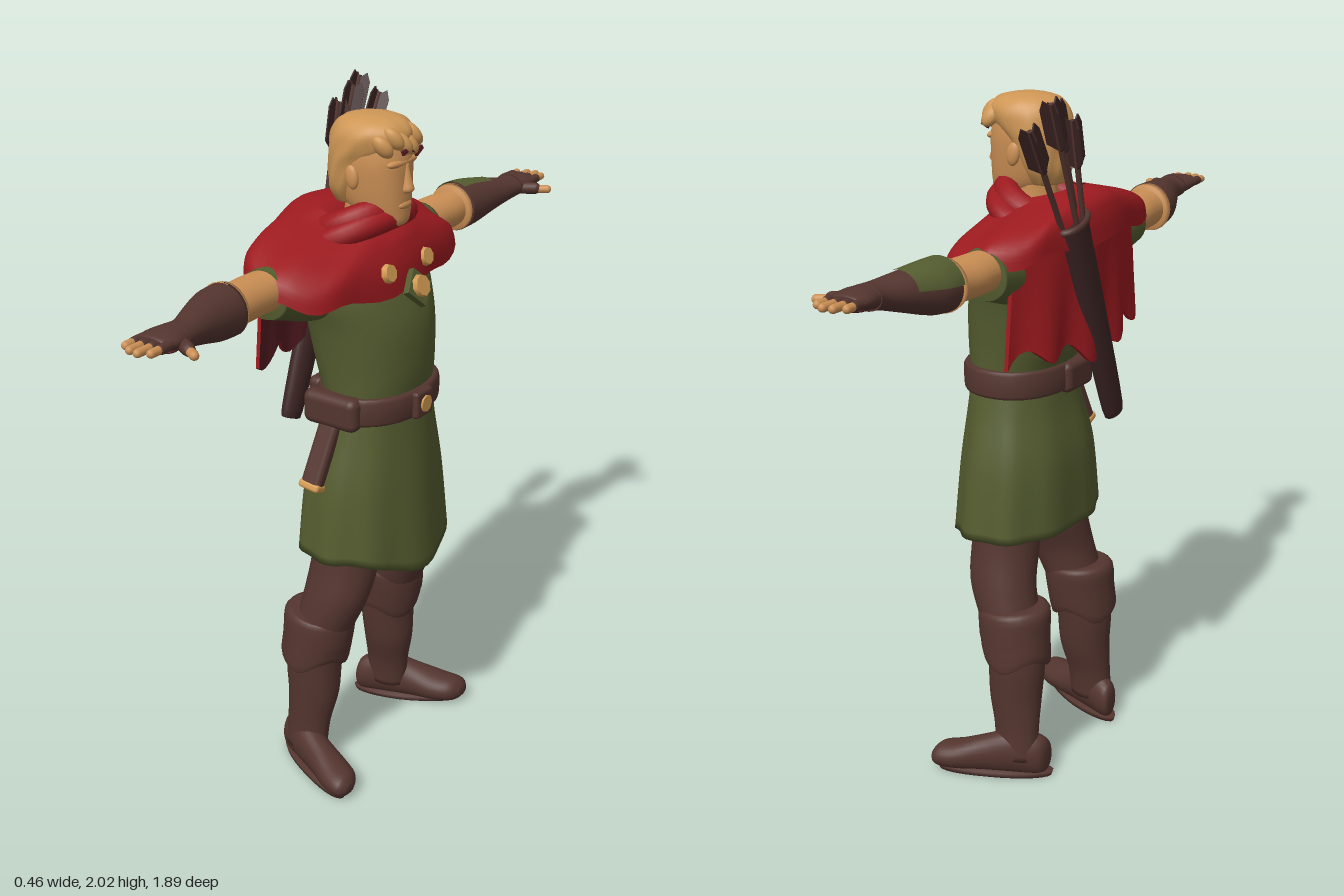
import * as THREE from 'three';
import { RoundedBoxGeometry } from 'three/addons/geometries/RoundedBoxGeometry.js';

const mat = (name, color, side = THREE.FrontSide) => new THREE.MeshStandardMaterial({ name, color, side });
const green = mat('tunic green', 0x545c2f);
const brown = mat('leather brown', 0x54352f);
const dark = mat('dark leather', 0x3d2524);
const red = mat('cloak red', 0x9c1a1f, THREE.DoubleSide);
const maroon = mat('lining maroon', 0x561c22);
const skin = mat('skin', 0xcc9055);
const hair = mat('hair', 0xcf9756);
const gold = mat('gold', 0xd39a52);

// smooth interpolation of rings, so a few cross-sections are enough
function resample(rings, sub) {
  const out = [], n = rings.length - 1;
  for (let i = 0; i <= n * sub; i++) {
    const k = Math.min(Math.floor(i / sub), n - 1), t = i / sub - k;
    const p = [k - 1, k, k + 1, k + 2].map(j => rings[Math.max(0, Math.min(n, j))]);
    out.push(p[1].map((_, c) => {
      const [a, b, d, e] = p.map(r => r[c]);
      return b + 0.5 * t * (d - a + t * (2 * a - 5 * b + 4 * d - e + t * (3 * (b - d) + e - a)));
    }));
  }
  return out;
}

// ring = [position on axis, centre u, centre v, radius u, radius v]
function loft(rings, { axis = 'y', seg = 28, sub = 4, cap = true, pow = 1, arc = null, move = null } = {}) {
  const rs = resample(rings, sub), pos = [], idx = [];
  const cols = arc ? seg + 1 : seg, [a0, a1] = arc || [0, Math.PI * 2];
  const place = (t, u, v) => axis === 'y' ? [u, t, v] : axis === 'z' ? [u, v, t] : [t, u, v];
  const mid = new THREE.Vector3();
  const add = (p, a, f) => {
    const q = new THREE.Vector3(...p);
    if (move) move(q, a, f);
    pos.push(q.x, q.y, q.z);
    return q;
  };
  const se = v => Math.sign(v) * Math.abs(v) ** pow;
  rs.forEach(([t, u, v, ru, rv], i) => {
    for (let j = 0; j < cols; j++) {
      const a = a0 + (a1 - a0) * j / seg;
      add(place(t, u + ru * se(Math.cos(a)), v + rv * se(Math.sin(a))), a, i / (rs.length - 1));
    }
  });
  for (let i = 0; i < rs.length - 1; i++) for (let j = 0; j < seg; j++) {
    const a = i * cols + j, b = i * cols + (j + 1) % cols;
    idx.push(a, a + cols, b, b, a + cols, b + cols);
  }
  if (cap && !arc) [0, rs.length - 1].forEach((r, e) => {
    const [t, u, v] = rs[r], c = pos.length / 3;
    add(place(t, u, v), Math.PI / 2, e);
    for (let j = 0; j < seg; j++) {
      const a = r * cols + j, b = r * cols + (j + 1) % cols;
      idx.push(...(e ? [a, c, b] : [a, b, c]));
    }
  });
  // make all faces point away from the axis
  const m = rs[rs.length >> 1];
  add(place(m[0], m[1], m[2]), Math.PI / 2, 0.5);
  mid.fromArray(pos, pos.length - 3);
  pos.length -= 3;
  let vol = 0;
  const P = k => new THREE.Vector3().fromArray(pos, k * 3).sub(mid);
  for (let k = 0; k < idx.length; k += 3) vol += P(idx[k]).dot(P(idx[k + 1]).cross(P(idx[k + 2])));
  if (vol < 0) idx.reverse();
  const g = new THREE.BufferGeometry();
  g.setAttribute('position', new THREE.Float32BufferAttribute(pos, 3));
  g.setIndex(idx);
  g.computeVertexNormals();
  return g;
}

export function createModel() {
  const model = new THREE.Group();
  model.name = 'archer';
  const put = (name, geo, material, p = [0, 0, 0], r = [0, 0, 0], s = [1, 1, 1], parent = model) => {
    const m = new THREE.Mesh(geo, material);
    m.name = name;
    m.position.set(...p); m.rotation.set(...r); m.scale.set(...s);
    parent.add(m);
    return m;
  };
  const ball = new THREE.SphereGeometry(1, 20, 14);

  // tunic: chest, then a folded skirt whose hem dips in front
  put('tunicChest', loft([[1.15, .04, 0, .13, .175], [1.22, .045, 0, .135, .178], [1.3, .035, 0, .152, .183],
    [1.42, .02, 0, .16, .198], [1.52, .0, 0, .145, .22], [1.6, -.02, 0, .12, .2], [1.66, -.02, 0, .08, .1]], { pow: .9 }), green);
  put('tunicSkirt', loft([[1.2, .045, 0, .13, .175], [1.1, .04, 0, .14, .198], [.95, .03, 0, .16, .238], [.745, .03, 0, .17, .268]], {
    seg: 56, sub: 6, pow: .9, move: (q, a, f) => {
      const k = 1 + .025 * f * Math.sin(9 * a + 1), c = Math.max(0, Math.cos(a)) ** 5;
      q.x = .03 + (q.x - .03) * k + .02 * f * c; q.z *= k;
      q.y -= .07 * f * f * c;
    } }), green);

  // belt with buckle, hip pouch and sheathed knife
  put('belt', loft([[1.155, .045, 0, .142, .188], [1.165, .045, 0, .152, .197], [1.225, .047, 0, .152, .194], [1.235, .045, 0, .14, .186]], { pow: .9, sub: 2 }), brown);
  put('buckleFrame', new RoundedBoxGeometry(.025, .08, .08, 2, .01), brown, [.2, 1.195, .01]);
  put('buckle', new THREE.CylinderGeometry(.025, .025, .012, 8), gold, [.212, 1.195, .01], [0, 0, Math.PI / 2]);
  put('hipPouch', new RoundedBoxGeometry(.18, .1, .06, 3, .025), brown, [.02, 1.19, .185]);
  put('backPouch', new RoundedBoxGeometry(.05, .09, .14, 3, .02), brown, [-.095, 1.19, .05]);
  const knife = new THREE.Group();
  knife.name = 'knife';
  knife.position.set(.005, 1.06, .222); knife.rotation.set(-.38, 0, -.1);
  model.add(knife);
  put('sheath', new RoundedBoxGeometry(.065, .2, .04, 3, .015), brown, [0, 0, 0], [0, 0, 0], [1, 1, 1], knife);
  put('sheathTip', new RoundedBoxGeometry(.07, .025, .045, 2, .01), gold, [0, -.092, 0], [0, 0, 0], [1, 1, 1], knife);

  for (const s of [1, -1]) {
    const flip = q => { q.z *= s; };
    // leg, boot cuff and turned-out foot
    put('trouserLeg', loft([[.95, .03, .11, .09, .1], [.72, .025, .132, .1, .1], [.6, .015, .165, .1, .09],
      [.5, -.015, .18, .09, .088], [.42, -.04, .187, .08, .08]], { move: flip }), brown);
    put('bootShaft', loft([[.46, -.04, .188, .085, .085], [.35, -.05, .195, .085, .08], [.25, -.05, .2, .08, .07],
      [.15, -.06, .212, .07, .054], [.06, -.065, .22, .068, .05]], { move: flip }), brown);
    put('bootCuff', loft([[.53, -.025, .182, .09, .09], [.515, -.035, .183, .108, .1], [.45, -.04, .188, .106, .1],
      [.375, -.05, .194, .1, .098], [.38, -.05, .195, .08, .08]], {
      sub: 3, move: (q, a, f) => { flip(q); q.y += f > .5 ? .022 * Math.sin(3 * a) * f : -.012 * Math.cos(a); } }), brown);
    put('foot', loft([[-.155, .06, .225, .03, .02], [-.14, .065, .225, .06, .04], [-.07, .075, .225, .073, .05], [.01, .062, .225, .06, .052],
      [.09, .047, .225, .045, .06], [.145, .043, .222, .036, .05], [.167, .04, .22, .014, .02]], {
      axis: 'x', move: q => { q.y = Math.max(q.y, .004); q.z += (q.x + .07) * .4; flip(q); } }), brown);
    put('sole', loft([[0, -.01, .225, .155, .048], [.016, -.01, .225, .16, .052]], {
      sub: 1, move: q => { q.z += (q.x + .07) * .4 + Math.max(0, q.x) * .06; flip(q); } }), brown);

    // sleeve, bare arm and bracer
    put('sleeve', loft([[.12, -.03, 1.55, .1, .1], [.22, -.05, 1.55, .1, .1], [.32, -.06, 1.56, .083, .08], [.375, -.065, 1.565, .076, .068]], { axis: 'z', move: flip }), green);
    put('upperArm', loft([[.3, -.06, 1.575, .06, .055], [.42, -.065, 1.577, .064, .056], [.5, -.06, 1.577, .06, .056], [.58, -.06, 1.58, .055, .05]], { axis: 'z', move: flip }), skin);
    put('bracerLining', loft([[.525, -.058, 1.578, .07, .069], [.545, -.058, 1.578, .074, .073]], { axis: 'z', sub: 1, move: flip }), skin);
    put('bracer', loft([[.538, -.055, 1.578, .073, .072], [.6, -.05, 1.58, .071, .068], [.68, -.03, 1.587, .056, .052],
      [.75, -.01, 1.592, .045, .037], [.79, -.008, 1.595, .05, .034]], { axis: 'z', move: flip }), brown);
    if (s < 0) put('bracerPanel', loft([[.545, -.055, 1.578, .078, .077], [.6, -.05, 1.58, .076, .073], [.68, -.03, 1.587, .06, .056]],
      { axis: 'z', arc: [Math.PI * .35, Math.PI * .95], move: flip }), mat('panel green', 0x545c2f, THREE.DoubleSide));

    // gloved hand, bare finger ends and thumb
    put('glove', loft([[.77, -.008, 1.595, .045, .032], [.82, -.008, 1.6, .055, .028], [.86, -.01, 1.602, .054, .02], [.87, -.01, 1.602, .045, .014]], { axis: 'z', move: flip }), brown);
    put('palm', ball, maroon, [-.005, 1.578, s * .825], [0, 0, 0], [.036, .008, .035]);
    [.905, .922, .926, .91].forEach((tip, i) => {
      const x = -.05 + i * .028;
      put('fingerSleeve', new THREE.CapsuleGeometry(.0135, .03, 4, 10), brown, [x, 1.602, s * .868], [Math.PI / 2, 0, 0]);
      put('finger', new THREE.CapsuleGeometry(.0115, tip - .86, 4, 10), skin, [x, 1.602, s * (.86 + tip) / 2 + s * .006], [Math.PI / 2, 0, 0]);
    });
    put('thumbSleeve', new THREE.CapsuleGeometry(.018, .05, 4, 10), brown, [.045, 1.59, s * .81], [Math.PI / 2, 0, -s * 1.05]);
    put('thumb', new THREE.CapsuleGeometry(.0125, .035, 4, 10), skin, [.085, 1.588, s * .832], [Math.PI / 2, 0, -s * 1.05]);

    put('ear', ball, skin, [.02, 1.83, s * .092], [0, 0, .15], [.02, .033, .012]);
    put('cloakButton', new THREE.CylinderGeometry(.024, .028, .016, 8), gold, [.142, 1.585, s * .09], [0, 0, -1.25]);
  }

  // neck, head and face
  put('neck', loft([[1.58, -.02, 0, .07, .075], [1.68, .0, 0, .062, .064], [1.78, .01, 0, .06, .064]]), skin);
  put('head', loft([[1.69, .085, 0, .03, .028], [1.705, .07, 0, .062, .05], [1.75, .04, 0, .095, .075], [1.82, .03, 0, .106, .088],
    [1.88, .022, 0, .112, .092], [1.94, .02, 0, .092, .08], [1.965, .02, 0, .05, .045]], { pow: .92 }), skin);
  put('nose', loft([[1.865, .125, 0, .012, .01], [1.82, .132, 0, .017, .014], [1.795, .135, 0, .02, .019], [1.785, .13, 0, .012, .012]], { seg: 14 }), skin);
  put('brow', ball, skin, [.118, 1.868, 0], [0, 0, 0], [.018, .014, .068]);
  put('lips', ball, skin, [.128, 1.752, 0], [0, 0, 0], [.011, .012, .03]);

  // swept hair with locks along the forehead
  put('hairCap', loft([[1.745, -.035, 0, .045, .06], [1.79, -.035, 0, .06, .088], [1.86, -.015, 0, .08, .1], [1.905, .01, 0, .11, .104],
    [1.945, .025, 0, .112, .1], [1.975, .025, 0, .085, .075], [1.987, .025, 0, .03, .03]], {
    move: (q, a) => { const k = 1 + .025 * Math.sin(9 * a + q.y * 40); q.x = .02 + (q.x - .02) * k; q.z *= k; } }), hair);
  for (let i = 0; i < 6; i++) {
    const z = -.07 + i * .028;
    put('hairLock', ball, hair, [.128 - z * z * 5, 1.925 + .012 * Math.sin(i * 2), z], [.5, 0, .5], [.024, .036, .02]);
  }
  for (const [y, z, r] of [[1.905, .02, .3], [1.9, -.012, -.3], [1.893, -.04, .5]])
    put('fringeStrand', new THREE.BoxGeometry(.008, .012, .034), maroon, [.144, y, z], [r, 0, .2]);

  // shoulder mantle, rolled collar and folded hood
  put('mantle', loft([[1.72, -.03, 0, .1, .11], [1.7, -.035, 0, .145, .155], [1.675, -.04, 0, .165, .24], [1.645, -.04, 0, .175, .33],
    [1.61, -.04, 0, .18, .385], [1.565, -.04, 0, .182, .4]], {
    seg: 48, cap: false, pow: .85, move: (q, a, f) => {
      q.y -= .25 * (q.x + .04) + .01 * f * Math.sin(8 * a);
      q.x += .008 * f * Math.cos(7 * a);
    } }), red);
  put('collar', new THREE.TorusGeometry(.112, .036, 12, 36), red, [-.025, 1.69, 0], [Math.PI / 2, .42, 0], [1, 1.05, 1.1]);
  put('collarFold', new THREE.TorusGeometry(.135, .034, 12, 36), red, [-.03, 1.655, 0], [Math.PI / 2, .45, 0], [1, 1.15, 1]);
  put('hood', ball, red, [-.13, 1.655, 0], [0, 0, .3], [.085, .085, .17]);

  // back cape with a lining on its inner face
  const cape = new THREE.BoxGeometry(.012, 1, 1, 1, 14, 36), cp = cape.attributes.position;
  for (let i = 0; i < cp.count; i++) {
    const d = .5 - cp.getY(i), w = cp.getZ(i), z = -.01 + w * (.62 + .05 * d);
    const hem = 1.31 + .025 * Math.sin(w * 26) - .02 * Math.cos(w * 9);
    cp.setXYZ(i, cp.getX(i) - .2 + .3 * w * w + .012 * d * Math.sin(w * 24), 1.64 + (hem - 1.64) * d, z);
  }
  cape.computeVertexNormals();
  put('cape', cape, [maroon, red, red, red, red, red]);

  // diamond clasp on the chest
  put('claspDiamond', new THREE.BoxGeometry(.02, .078, .078), green, [.172, 1.525, 0], [Math.PI / 4, 0, .4, 'ZYX']);
  put('clasp', new THREE.CylinderGeometry(.03, .033, .02, 8), gold, [.184, 1.533, 0], [0, 0, -1.2]);

  // slanted quiver with arrows
  const quiver = new THREE.Group();
  quiver.name = 'quiver';
  quiver.position.set(-.2, 1.09, .09); quiver.rotation.x = -.37;
  model.add(quiver);
  const q = (n, g, m, p, r, s) => put(n, g, m, p, r, s, quiver);
  q('quiverCase', loft([[-.005, 0, 0, .012, .025], [.01, 0, 0, .026, .04], [.3, 0, 0, .03, .05], [.6, 0, 0, .032, .054], [.63, 0, 0, .033, .055]]), dark);
  q('quiverRim', new THREE.TorusGeometry(.045, .01, 8, 24), brown, [0, .63, 0], [Math.PI / 2, 0, 0], [.72, 1.2, 1]);
  [[.012, .95, .028, .05], [-.012, .985, -.004, 0], [.006, .96, -.03, -.14], [-.01, .9, .012, .16]].forEach(([x, top, z, lean]) => {
    const arrow = new THREE.Group();
    arrow.name = 'arrow';
    arrow.position.set(x, .5, z); arrow.rotation.x = lean;
    quiver.add(arrow);
    const len = top - .5;
    put('shaft', new THREE.CylinderGeometry(.008, .008, len, 8), brown, [0, len / 2, 0], [0, 0, 0], [1, 1, 1], arrow);
    const vane = new THREE.Shape([[0, 0], [.034, .03], [.034, .125], [.022, .15], [0, .13]].map(v => new THREE.Vector2(...v)));
    for (let i = 0; i < 3; i++)
      put('fletching', new THREE.ExtrudeGeometry(vane, { depth: .005, bevelEnabled: false }), dark, [0, len - .14, 0], [0, i * Math.PI * 2 / 3 + .5, 0], [1, 1, 1], arrow);
  });
  return model;
}
